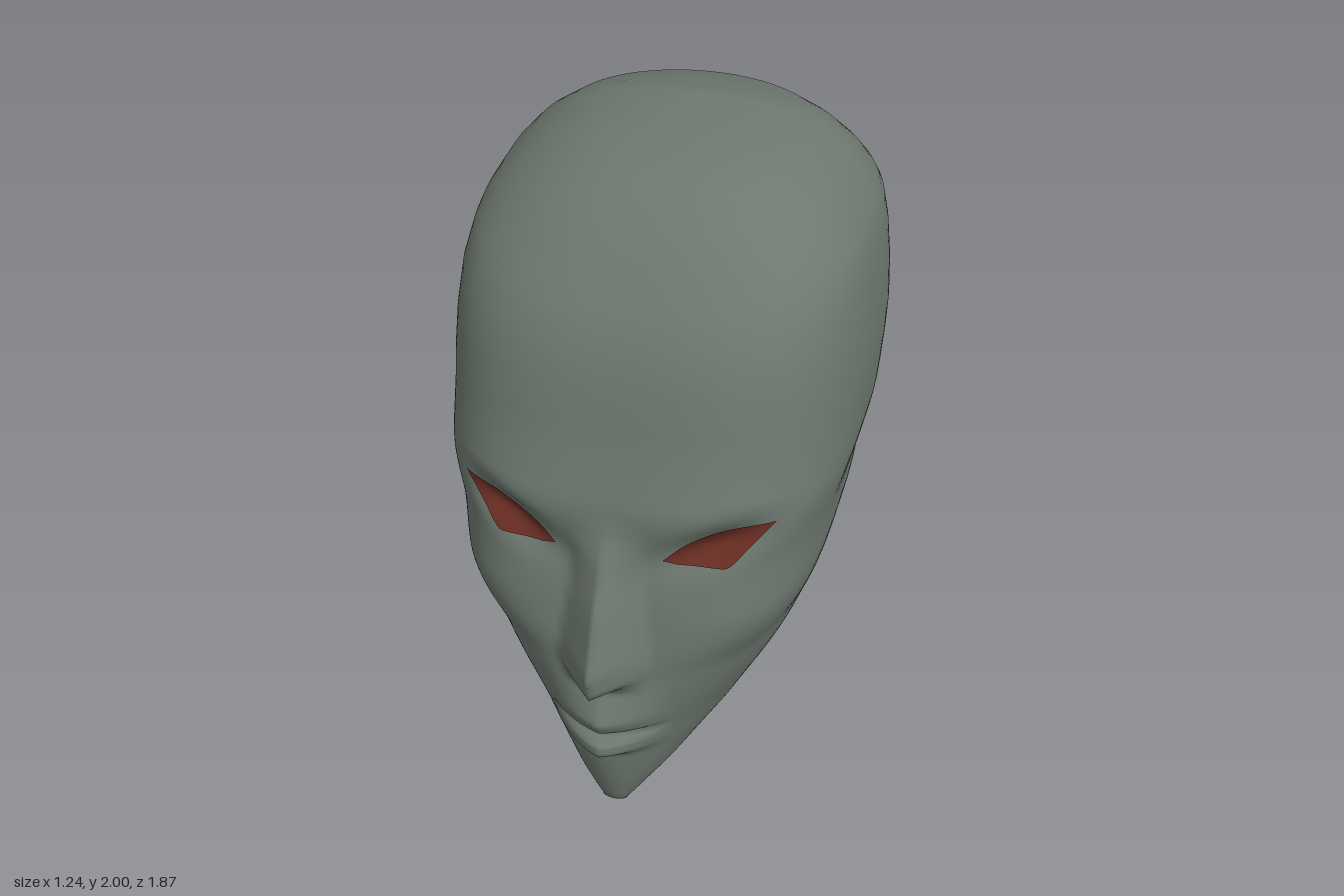
import * as THREE from 'three';

// piecewise linear lookup in a list of [y, value]
function linear(t, y) {
  let i = 1;
  while (i < t.length - 1 && y > t[i][0]) i++;
  const k = THREE.MathUtils.clamp((y - t[i - 1][0]) / (t[i][0] - t[i - 1][0]), 0, 1);
  return t[i - 1][1] + k * (t[i][1] - t[i - 1][1]);
}

// smooth lookup that never overshoots the listed points
function smooth(t, y) {
  let i = 1;
  while (i < t.length - 1 && y > t[i][0]) i++;
  const slope = k => (t[k][1] - t[k - 1][1]) / (t[k][0] - t[k - 1][0]);
  const tangent = k => {
    if (k === 0) return slope(1);
    if (k === t.length - 1) return slope(k);
    const a = slope(k), b = slope(k + 1);
    return a * b <= 0 ? 0 : 2 * a * b / (a + b);
  };
  const h = t[i][0] - t[i - 1][0];
  const s = THREE.MathUtils.clamp((y - t[i - 1][0]) / h, 0, 1), r = 1 - s;
  return t[i - 1][1] * (1 + 2 * s) * r * r + t[i][1] * s * s * (3 - 2 * s)
    + h * (tangent(i - 1) * s * r * r - tangent(i) * s * s * r);
}

// head profiles by height
const halfWidth = [[0, .04], [.03, .08], [.14, .21], [.3, .35], [.58, .49], [.8, .55], [.95, .57], [1.15, .61],
  [1.38, .62], [1.63, .6], [1.74, .57], [1.87, .47], [1.93, .38], [1.975, .26], [1.99, .15], [2, .02]];
const front = [[0, .72], [.04, .74], [.27, .79], [.45, .8], [.62, .79], [.8, .755], [1, .72], [1.12, .725],
  [1.3, .67], [1.6, .58], [1.73, .48], [1.89, .32], [1.97, .14], [1.99, -.04], [2, -.2]];
const back = [[0, .69], [.03, .55], [.08, .37], [.25, 0], [.47, -.08], [.68, -.7], [.82, -.805], [.96, -.888],
  [1.06, -.908], [1.2, -.925], [1.38, -.93], [1.7, -.81], [1.93, -.5], [1.98, -.32], [2, -.24]];
const middle = [[0, .7], [.03, .62], [.1, .45], [.25, .2], [.47, .1], [.68, 0], [1, -.05], [1.3, -.1], [1.7, -.15], [2, -.22]];
const frontPower = [[0, 2], [.3, 1.9], [.6, 2.4], [.82, 3.5], [1.1, 3.3], [1.3, 3], [1.6, 3], [2, 2.3]];
const backPower = [[0, 2.5], [.25, 3.6], [.47, 4], [.7, 2.6], [1, 2]];

// relief on the centre line
const noseHeight = [[.55, 0], [.58, .05], [.62, .14], [.7, .165], [.88, .12], [1, .065], [1.07, .02], [1.13, 0]];
const noseWidth = [[.55, .13], [.65, .14], [.9, .11], [1.12, .12]];
const lipHeight = [[.27, 0], [.32, .065], [.36, .06], [.383, -.012], [.405, .045], [.45, .07], [.56, .015], [.6, 0]];

// eye opening edges by x
const upperLid = [[.16, 1], [.24, 1.07], [.33, 1.11], [.46, 1.125]];
const lowerLid = [[.16, .998], [.21, .985], [.33, .985], [.4, 1.05], [.46, 1.123]];

function relief(x, y) {
  const ax = Math.abs(x);
  const nose = linear(noseHeight, y) * Math.max(0, 1 - ax / linear(noseWidth, y));
  const lips = linear(lipHeight, y) * Math.max(0, 1 - ax / .19);
  const socket = .06 * Math.exp(-(((ax - .31) / .14) ** 2) - ((y - 1.055 - (ax - .3) * .4) / .065) ** 2);
  return nose + lips - socket;
}

// z of a half section shaped as a superellipse
function sectionZ(x, y, edge, n) {
  const f = Math.min(1, Math.abs(x) / smooth(halfWidth, y));
  const c = smooth(middle, y);
  return c + (edge - c) * Math.pow(1 - f ** n, 1 / n);
}
const faceZ = (x, y) => sectionZ(x, y, smooth(front, y), smooth(frontPower, y)) + relief(x, y);
const backZ = (x, y) => sectionZ(x, y, linear(back, y), smooth(backPower, y));

// closed loft of horizontal sections
function headGeometry() {
  const rows = [0, .015, .03, .05, .08, .11, .14, .18, .22, .25];
  for (let y = .27; y < .6; y += .0125) rows.push(y);
  for (let y = .6; y < 1.2; y += .02) rows.push(y);
  rows.push(1.2, 1.3, 1.38, 1.5, 1.62, 1.7, 1.74, 1.8, 1.87, 1.93, 1.97, 1.99, 2);
  const M = 200, pos = [], index = [];
  for (const y of rows) {
    const w = smooth(halfWidth, y);
    for (let j = 0; j < M; j++) {
      const a = j / M * Math.PI * 2;
      const x = w * Math.sin(a);
      pos.push(x, y, Math.cos(a) > -1e-9 ? faceZ(x, y) : backZ(x, y));
    }
  }
  for (let i = 0; i < rows.length - 1; i++) {
    for (let j = 0; j < M; j++) {
      const a = i * M + j, b = i * M + (j + 1) % M;
      index.push(a, b, a + M, b, b + M, a + M);
    }
  }
  // chin and crown caps
  const chin = pos.length / 3, crown = chin + 1, last = (rows.length - 1) * M;
  pos.push(0, 0, .705, 0, 2, -.22);
  for (let j = 0; j < M; j++) {
    const k = (j + 1) % M;
    index.push(chin, k, j, crown, last + j, last + k);
  }
  const g = new THREE.BufferGeometry();
  g.setAttribute('position', new THREE.Float32BufferAttribute(pos, 3));
  g.setIndex(index);
  g.computeVertexNormals();
  return g;
}

// almond patch lying just over the face
function eyeGeometry(side) {
  const g = new THREE.PlaneGeometry(1, 1, 30, 10);
  const p = g.attributes.position;
  for (let i = 0; i < p.count; i++) {
    const x = .31 + side * p.getX(i) * .3;
    const lo = smooth(lowerLid, x), hi = smooth(upperLid, x);
    const y = lo + (hi - lo) * (p.getY(i) + .5);
    p.setXYZ(i, side * x, y, faceZ(x, y) + .008);
  }
  g.computeVertexNormals();
  return g;
}

export function createModel() {
  const skin = new THREE.MeshStandardMaterial({ color: 0x6c776e });
  skin.name = 'greyGreenSkin';
  const red = new THREE.MeshStandardMaterial({ color: 0x6a2e23 });
  red.name = 'darkRedEye';

  const group = new THREE.Group();
  group.name = 'alienHead';
  const head = new THREE.Mesh(headGeometry(), skin);
  head.name = 'head';
  group.add(head);
  for (const side of [1, -1]) {
    const eye = new THREE.Mesh(eyeGeometry(side), red);
    eye.name = side > 0 ? 'leftEye' : 'rightEye';
    group.add(eye);
  }
  return group;
}
